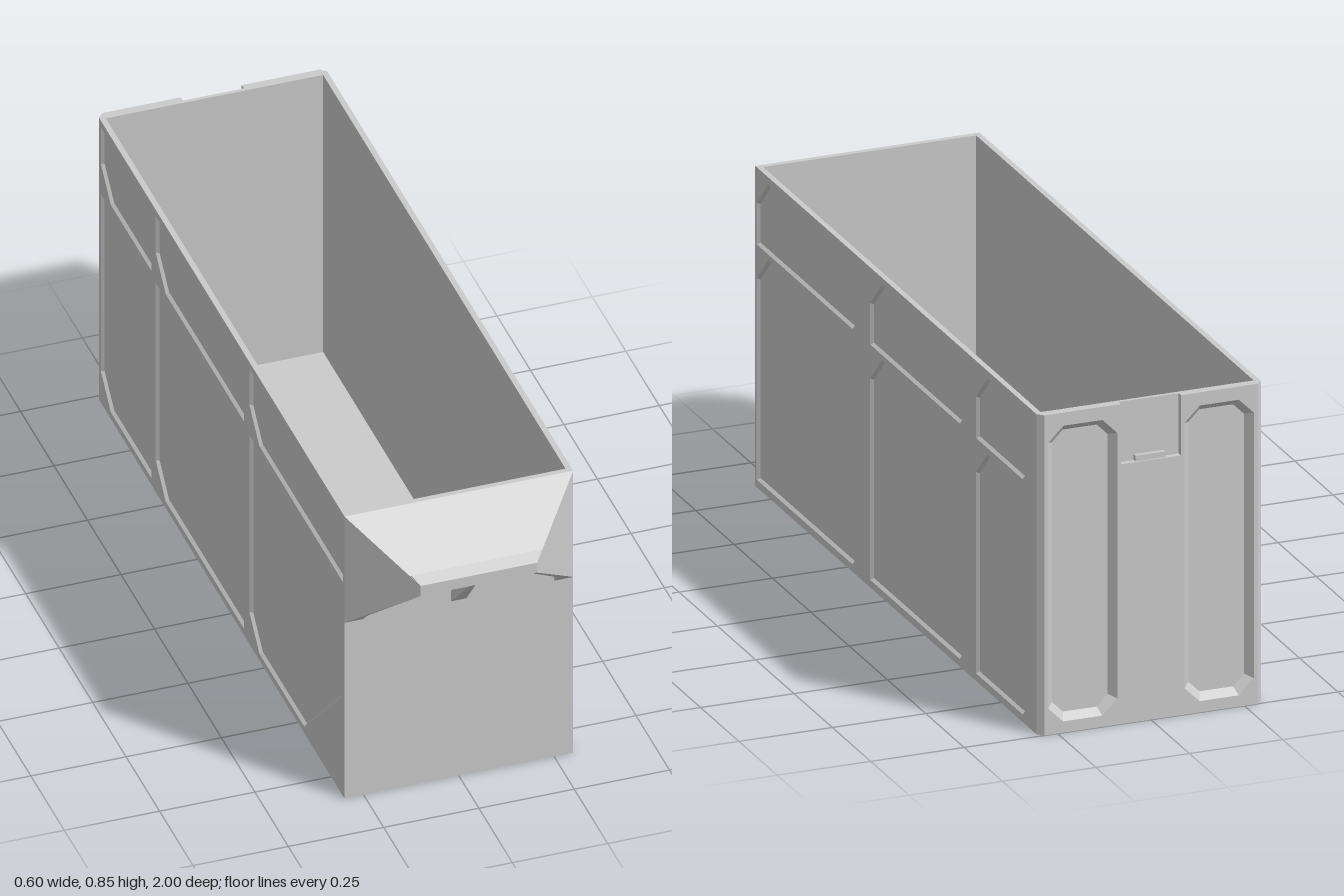
import * as THREE from 'three';
import { mergeGeometries } from 'three/addons/utils/BufferGeometryUtils.js';
import { ConvexGeometry } from 'three/addons/geometries/ConvexGeometry.js';

const grey = new THREE.MeshStandardMaterial({ color: 0xcccccc, flatShading: true });
const V2 = ([x, y]) => new THREE.Vector2(x, y);
const V3 = (p) => new THREE.Vector3(...p);

// Flat polygon facing +z, with optional holes
function flat(points, holes = [], z = 0) {
  const shape = new THREE.Shape(points.map(V2));
  shape.holes = holes.map((h) => new THREE.Path(h.map(V2)));
  return new THREE.ShapeGeometry(shape).toNonIndexed().translate(0, 0, z);
}

// Shrinks a convex counter-clockwise loop by d
function inset(loop, d) {
  const n = loop.length;
  return loop.map((p, i) => {
    const a = V2(p).sub(V2(loop[(i + n - 1) % n])).normalize();
    const b = V2(loop[(i + 1) % n]).sub(V2(p)).normalize();
    const na = new THREE.Vector2(-a.y, a.x), nb = new THREE.Vector2(-b.y, b.x);
    const m = na.clone().add(nb).multiplyScalar(d / (1 + na.dot(nb)));
    return [p[0] + m.x, p[1] + m.y];
  });
}

// Walls of a pocket, from the rim loop down to its inset floor loop
function pocketWalls(a, b, depth, open) {
  const pos = [], n = a.length;
  for (let i = 0; i < (open ? n - 1 : n); i++) {
    const j = (i + 1) % n;
    const q = [[...a[i], 0], [...a[j], 0], [...b[j], -depth], [...b[i], -depth]];
    pos.push(...[0, 1, 2, 0, 2, 3].flatMap((k) => q[k]));
  }
  const g = new THREE.BufferGeometry();
  g.setAttribute('position', new THREE.Float32BufferAttribute(pos, 3));
  g.setAttribute('uv', new THREE.Float32BufferAttribute(new Array(pos.length / 3 * 2).fill(0), 2));
  g.computeVertexNormals();
  return g;
}

// Sheet facing +z with sunken pockets; an open pocket runs out over the sheet's edge
function sheet(outline, pockets = []) {
  const parts = [flat(outline, pockets.filter((p) => !p.open).map((p) => p.loop))];
  for (const { loop, depth, bevel = 0, open } of pockets) {
    const floor = bevel ? inset(loop, bevel) : loop;
    parts.push(pocketWalls(loop, floor, depth, open), flat(floor, [], -depth));
  }
  return mergeGeometries(parts);
}

const rect = (x0, y0, x1, y1) => [[x0, y0], [x1, y0], [x1, y1], [x0, y1]];

// Side panel: x runs rear to front, cut at the lower rear and upper front corners
function panelLoop(x0, x1, y0, y1, bigCut) {
  const c = 0.075;
  const corner = bigCut ? [[x1 - 0.29, y0], [x1, y0 + 0.285]] : [[x1, y0]];
  return [[x0 + c, y0], ...corner, [x1, y1 - c], [x1 - c, y1], [x0, y1], [x0, y0 + c]];
}

export function createModel() {
  const model = new THREE.Group();
  const add = (name, geometry, parent = model) => {
    const mesh = new THREE.Mesh(geometry, grey);
    mesh.name = name;
    parent.add(mesh);
    return mesh;
  };
  const hull = (name, pts, parent) => add(name, new ConvexGeometry(pts.map(V3)), parent);

  // Side walls with two rows of sunken panels
  const columns = [[-0.97, -0.59], [-0.56, 0.10], [0.14, 0.84]];
  for (const s of [-1, 1]) {
    const loops = columns.flatMap(([a, b], i) => [
      panelLoop(a, b, 0.02, 0.63, i === 2 && s < 0),
      panelLoop(a, b, 0.645, 0.83),
    ]);
    const place = (l) => (s < 0 ? l : l.map(([x, y]) => [-x, y]).reverse());
    const pockets = loops.map((l) => ({ loop: place(l), depth: 0.008, bevel: 0.006 }));
    const wall = add(s < 0 ? 'rightWall' : 'leftWall', sheet(place(rect(-0.985, 0, 0.85, 0.85)), pockets));
    wall.rotation.y = s * Math.PI / 2;
    wall.position.x = s * 0.3;

    // Chamfered rear corner
    const corner = add('rearCorner', new THREE.PlaneGeometry(0.0212, 0.85));
    corner.rotation.y = s * Math.PI * 0.75;
    corner.position.set(s * 0.2925, 0.425, -0.9925);
  }

  add('frontWall', sheet(rect(-0.3, 0, 0.3, 0.85))).position.z = 0.85;

  // Back wall with two tall grip grooves and a notch at the top
  const groove = (x0, x1, y0, y1, c) => [
    [x0 + c, y0], [x1 - c, y0], [x1, y0 + c], [x1, y1 - c],
    [x1 - c, y1], [x0 + c, y1], [x0, y1 - c], [x0, y0 + c],
  ];
  const notch = [[-0.08, 0.85], [-0.08, 0.69], [0.08, 0.69], [0.08, 0.85]];
  const back = add('backWall', sheet(
    [[-0.285, 0], [0.285, 0], [0.285, 0.85], ...[...notch].reverse(), [-0.285, 0.85]],
    [
      { loop: groove(-0.275, -0.09, 0.03, 0.815, 0.04), depth: 0.02, bevel: 0.018 },
      { loop: groove(0.09, 0.275, 0.03, 0.815, 0.04), depth: 0.02, bevel: 0.018 },
      { loop: notch, depth: 0.015, open: true },
    ],
  ));
  back.rotation.y = Math.PI;
  back.position.z = -1;
  add('notchLip', new THREE.BoxGeometry(0.08, 0.015, 0.012)).position.set(0, 0.698, -0.991);

  // Rim, inner walls and floor: one deep pocket seen from above (y here is -z)
  const outline = [
    [-0.3, -0.85], [0.3, -0.85], [0.3, 0.985], [0.285, 1], [0.08, 1], [0.08, 0.985],
    [-0.08, 0.985], [-0.08, 1], [-0.285, 1], [-0.3, 0.985],
  ];
  const inside = add('rimAndInterior', sheet(outline, [{ loop: rect(-0.285, -0.835, 0.285, 0.975), depth: 0.835 }]));
  inside.rotation.x = -Math.PI / 2;
  inside.position.y = 0.85;

  // Underside
  const base = add('base', flat([[-0.3, -0.985], [-0.285, -1], [0.285, -1], [0.3, -0.985], [0.3, 0.85], [-0.3, 0.85]]));
  base.rotation.x = Math.PI / 2;

  // Front pull handle: sloping plate, two slanted cheeks and a middle rib, hollow below
  const handle = new THREE.Group();
  handle.name = 'handle';
  model.add(handle);
  const both = (pts) => pts.flatMap(([x, y, z]) => [[x, y, z], [-x, y, z]]);
  hull('handlePlate', both([
    [0.3, 0.85, 0.85], [0.3, 0.81, 0.85], [0.153, 0.705, 1], [0.153, 0.675, 1], [0.17, 0.675, 0.98],
  ]), handle);
  hull('handleLip', both([
    [0.172, 0.725, 0.978], [0.172, 0.729, 0.982], [0.153, 0.705, 1], [0.158, 0.7, 0.99],
  ]), handle);
  for (const s of [-1, 1]) {
    hull('handleCheek', [
      [0.3, 0.85, 0.85], [0.3, 0.53, 0.85], [0.153, 0.705, 1], [0.153, 0.675, 1],
      [0.28, 0.83, 0.85], [0.28, 0.53, 0.85], [0.135, 0.69, 0.995], [0.135, 0.675, 0.995],
    ].map(([x, y, z]) => [s * x, y, z]), handle);
    // Foot where the cheek meets the front wall
    hull('cheekFoot', [
      [0.25, 0.53, 0.85], [0.295, 0.53, 0.85], [0.25, 0.57, 0.85], [0.28, 0.57, 0.85],
      [0.25, 0.56, 0.88], [0.27, 0.56, 0.88],
    ].map(([x, y, z]) => [s * x, y, z]), handle);
  }
  hull('handleRib', both([
    [0.02, 0.53, 0.85], [0.02, 0.82, 0.85], [0.004, 0.55, 0.87], [0.004, 0.675, 0.985], [0.004, 0.7, 0.985],
  ]), handle);

  return model;
}
